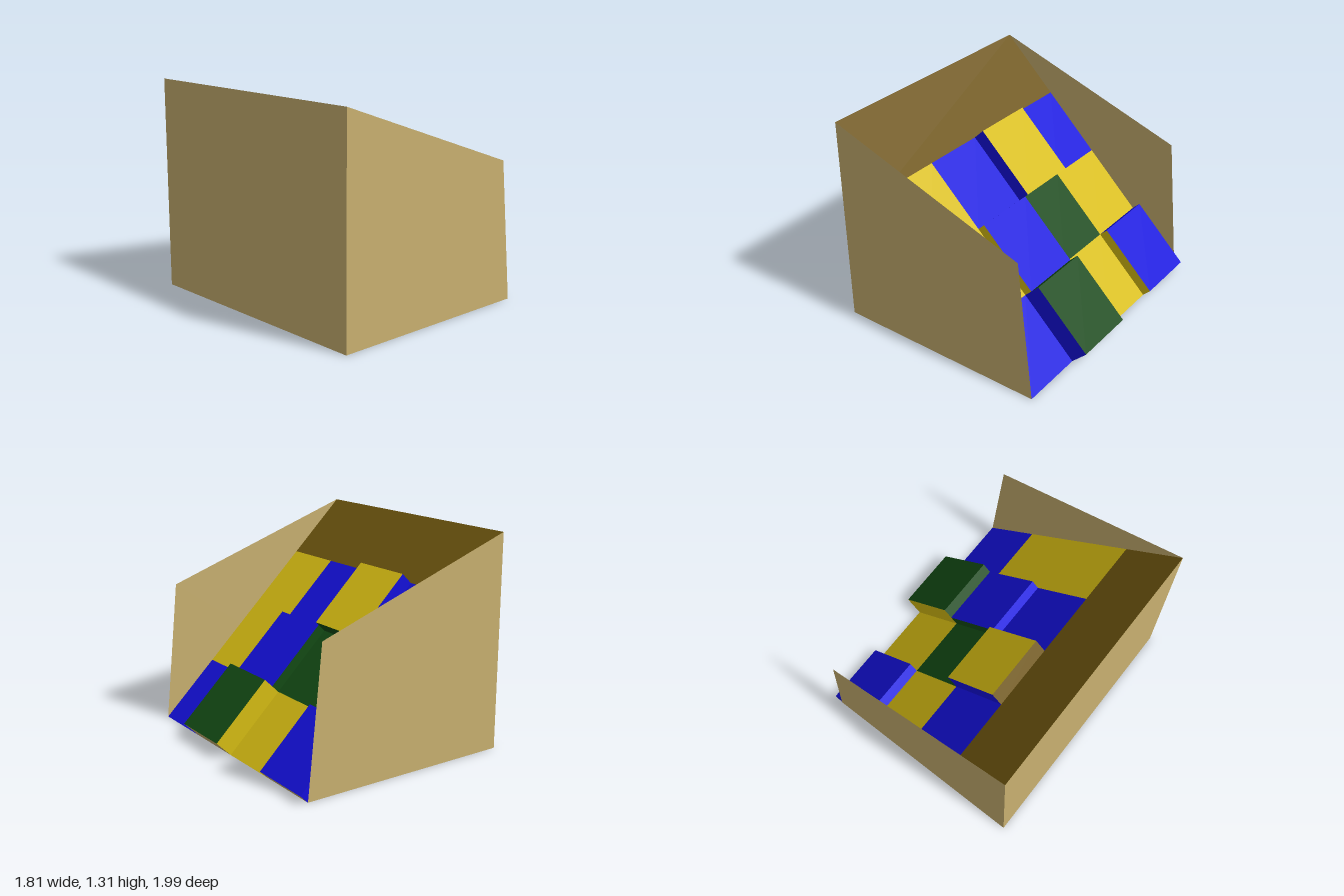
import * as THREE from 'three';

const LENGTH = 1.35, WIDTH = 1.62, HEIGHT = 1.31, CELLS = 4;
const COLORS = { tan: 0xc8b070, brown: 0x6e560f, yellow: 0xd6bc12, blue: 0x1410dc, green: 0x124a14 };
const materials = {};
for (const [name, color] of Object.entries(COLORS)) {
  materials[name] = new THREE.MeshStandardMaterial({ color, side: THREE.DoubleSide, flatShading: true });
}

// Thin flat panel through points given in order around its edge
function panel(name, points, color) {
  const geometry = new THREE.BufferGeometry().setFromPoints(points);
  geometry.setIndex(points.length === 3 ? [0, 1, 2] : [0, 1, 2, 0, 2, 3]);
  const flat = geometry.toNonIndexed();
  flat.computeVertexNormals();
  const mesh = new THREE.Mesh(flat, materials[color]);
  mesh.name = name;
  return mesh;
}

const V = (x, y, z) => new THREE.Vector3(x, y, z);

// Point on the ramp: row counts downhill, column across, lift moves it off the ramp
function onRamp(row, column, lift = 0) {
  const z = THREE.MathUtils.clamp(column * WIDTH / CELLS, 0.001, WIDTH - 0.001);
  return V(row * LENGTH / CELLS + lift, HEIGHT * (1 - row / CELLS) + lift, z);
}

// Tile colours and lifts, [row][column], from the top of the ramp down
const tiles = [
  [['blue', 0], ['yellow', 0.062], ['blue', 0], ['yellow', 0]],
  [['yellow', 0], ['green', 0], ['blue', 0.042], ['yellow', 0]],
  [['blue', 0.047], ['yellow', 0], ['green', 0.092], ['blue', 0]],
];

function makeTile(r, c) {
  const [color, lift] = tiles[r][c];
  const group = new THREE.Group();
  group.name = `tileRow${r + 1}Column${c + 1}`;
  const row = r + 1;
  const corners = [[row, c], [row, c + 1], [row + 1, c + 1], [row + 1, c]];
  group.add(panel('tileTop', corners.map(([a, b]) => onRamp(a, b, lift)), color));
  if (!lift) return group;
  // Step faces take the colour of the cell they drop to
  const sideColors = [
    r === 0 ? 'brown' : color,
    tiles[r][c + 1]?.[0] ?? color,
    tiles[r + 1]?.[c][0] ?? 'tan',
    tiles[r][c - 1]?.[0] ?? color,
  ];
  corners.forEach((a, i) => {
    const b = corners[(i + 1) % 4];
    group.add(panel('tileStep', [onRamp(...a), onRamp(...b), onRamp(...b, lift), onRamp(...a, lift)], sideColors[i]));
  });
  return group;
}

export function createModel() {
  const model = new THREE.Group();
  model.name = 'tiledRamp';
  const body = new THREE.Group();
  body.name = 'rampBody';
  body.rotation.y = 0.339;
  body.position.set(-0.908, 0, -0.538);
  model.add(body);

  // Side walls rising above the ramp
  for (const [name, z] of [['backSideWall', 0], ['frontSideWall', WIDTH]]) {
    body.add(panel(name, [V(0, 0, z), V(LENGTH, 0, z), V(1.257, 0.87, z), V(0, HEIGHT, z)], 'tan'));
  }

  // Tall end wall and base
  body.add(panel('endWall', [V(0, 0, 0), V(0, 0, WIDTH), V(0, HEIGHT, WIDTH), V(0, HEIGHT, 0)], 'tan'));
  body.add(panel('base', [V(0, 0, 0), V(LENGTH, 0, 0), V(LENGTH, 0, WIDTH), V(0, 0, WIDTH)], 'tan'));

  // Plain top strip of the ramp
  body.add(panel('topStrip', [onRamp(0, 0), onRamp(0, CELLS), onRamp(1, CELLS), onRamp(1, 0)], 'brown'));

  // Coloured tiles
  tiles.forEach((line, r) => line.forEach((_, c) => body.add(makeTile(r, c))));
  return model;
}
